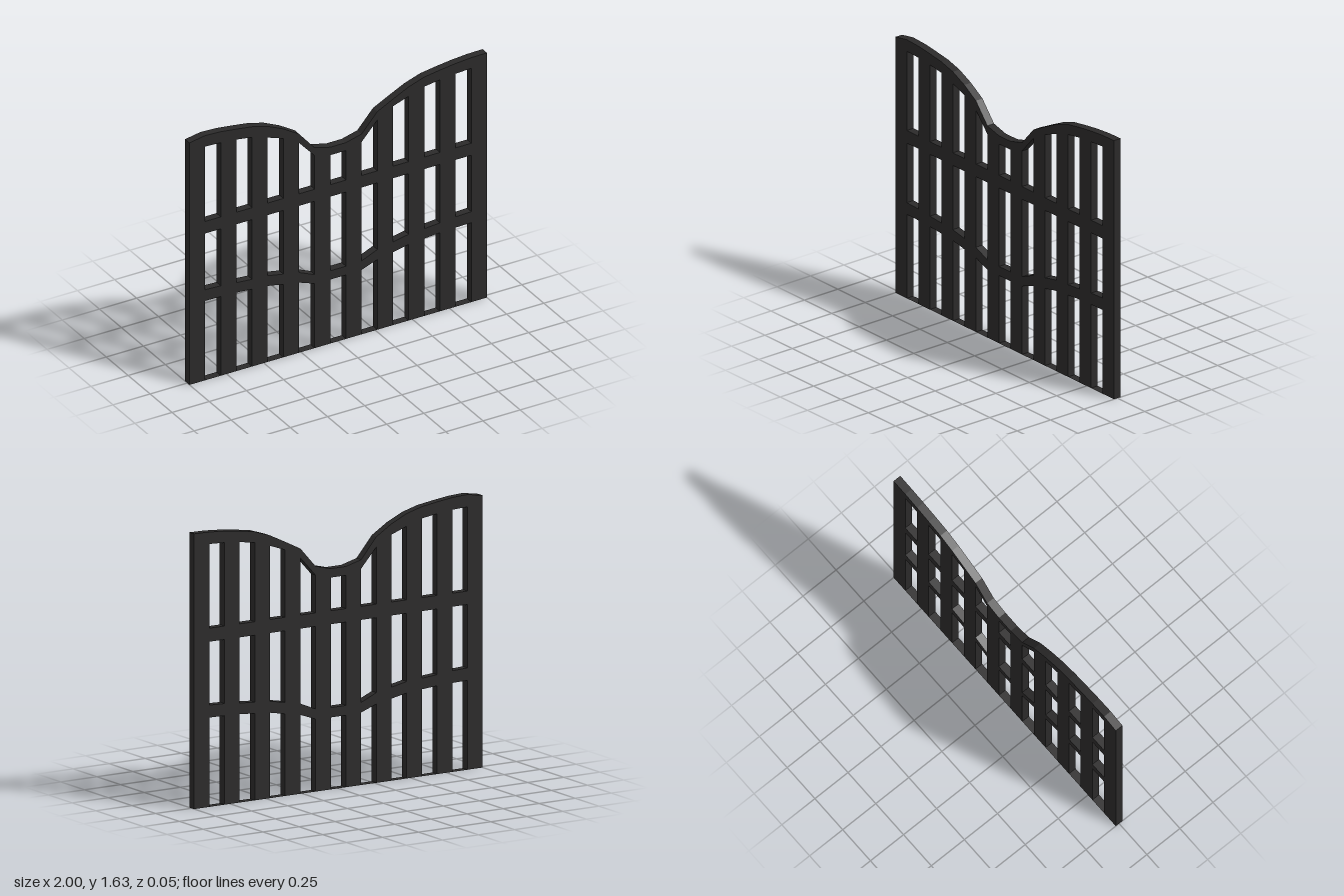
import * as THREE from 'three';

const DEPTH = 0.05;
const BARS = 10;
const BAR_WIDTH = 0.105;
const PITCH = (2 - BAR_WIDTH) / (BARS - 1);

// Height of the top edge at each bar side, left to right
const CREST = [1.615, 1.633, 1.628, 1.615, 1.6, 1.572, 1.524, 1.46, 1.337, 1.31,
  1.31, 1.337, 1.455, 1.508, 1.559, 1.594, 1.61, 1.623, 1.631, 1.633];

// Rail edges at the [outer, inner] side of each gap, from the end gap to the middle one
const TOP_RAIL_UNDER = [[1.56, 1.555], [1.545, 1.53], [1.497, 1.46], [1.4, 1.284], [1.257, 1.257]];
const LOW_RAIL_OVER = [[0.604, 0.6], [0.59, 0.582], [0.575, 0.555], [0.535, 0.49], [0.485, 0.485]];
const LOW_RAIL_UNDER = [[0.53, 0.528], [0.524, 0.516], [0.507, 0.487], [0.468, 0.43], [0.427, 0.427]];
const MID_RAIL = [0.98, 1.06];

// Left and right heights of a mirrored rail edge at gap i
function edge(table, i) {
  const last = BARS - 2;
  return i <= last / 2 ? table[i] : [...table[last - i]].reverse();
}

function opening(l, r, [bottomL, bottomR], [topL, topR]) {
  const hole = new THREE.Path();
  hole.moveTo(l, bottomL);
  hole.lineTo(l, topL);
  hole.lineTo(r, topR);
  hole.lineTo(r, bottomR);
  hole.closePath();
  return hole;
}

export function createModel() {
  const group = new THREE.Group();
  group.name = 'gatePanel';
  const material = new THREE.MeshStandardMaterial({ color: 0x2b2a2a });
  const sillMaterial = new THREE.MeshStandardMaterial({ color: 0x2b2a2a, side: THREE.DoubleSide });

  // Bars and rails are one flush panel: notches below the low rail, holes above it
  const shape = new THREE.Shape();
  shape.moveTo(-1, 0);
  for (let i = 0; i < BARS - 1; i++) {
    const l = -1 + i * PITCH + BAR_WIDTH;
    const r = -1 + (i + 1) * PITCH;
    const [underL, underR] = edge(LOW_RAIL_UNDER, i);
    shape.lineTo(l, 0);
    shape.lineTo(l, underL);
    shape.lineTo(r, underR);
    shape.lineTo(r, 0);

    shape.holes.push(
      opening(l, r, edge(LOW_RAIL_OVER, i), [MID_RAIL[0], MID_RAIL[0]]),
      opening(l, r, [MID_RAIL[1], MID_RAIL[1]], edge(TOP_RAIL_UNDER, i)),
    );

    // Paper-thin sill closing the foot of each gap
    const sill = new THREE.Mesh(new THREE.PlaneGeometry(r - l, DEPTH), sillMaterial);
    sill.rotation.x = -Math.PI / 2;
    sill.position.x = (l + r) / 2;
    sill.name = 'sill';
    group.add(sill);
  }
  shape.lineTo(1, 0);

  // Swept top edge, from right to left
  for (let k = CREST.length - 1; k >= 0; k--) {
    const x = -1 + Math.floor(k / 2) * PITCH + (k % 2) * BAR_WIDTH;
    shape.lineTo(x, CREST[k]);
  }
  shape.closePath();

  const geometry = new THREE.ExtrudeGeometry(shape, { depth: DEPTH, bevelEnabled: false });
  geometry.translate(0, 0, -DEPTH / 2);
  const panel = new THREE.Mesh(geometry, material);
  panel.name = 'barsAndRails';
  group.add(panel);

  return group;
}
